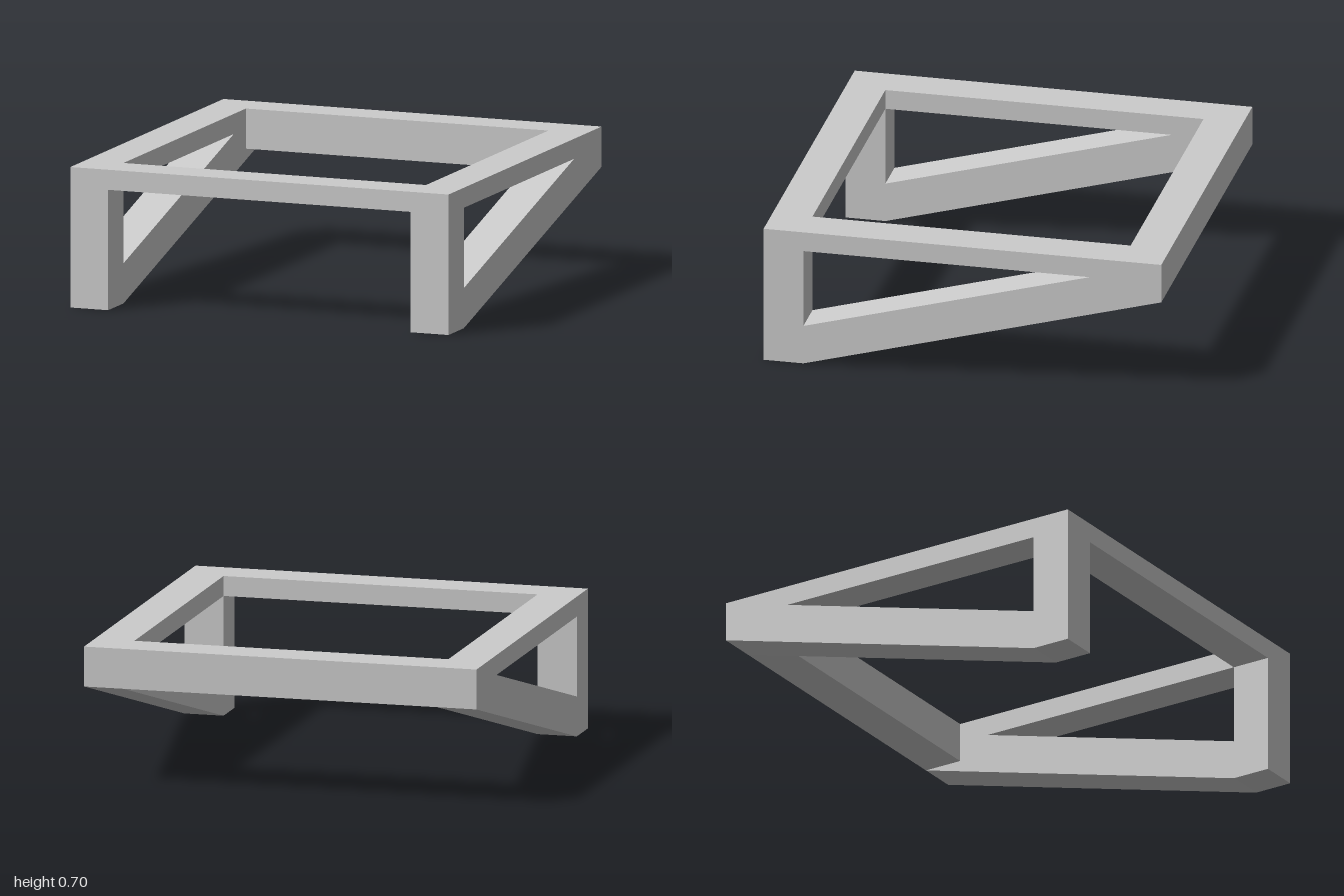
import * as THREE from 'three';

export function createModel() {
  const group = new THREE.Group();
  const material = new THREE.MeshStandardMaterial({ color: 0xcccccc, flatShading: true });
  const beam = 0.2;

  const add = (name, geometry, x, y, z) => {
    const mesh = new THREE.Mesh(geometry, material);
    mesh.name = name;
    mesh.position.set(x, y, z);
    group.add(mesh);
  };

  // Side frame profile as [z, y]: post, top rail and sloping brace around a triangular opening
  const points = (list) => list.map(([z, y]) => new THREE.Vector2(-z, y));
  const profile = new THREE.Shape(points([[0.8, 0], [-1, 0.5], [-1, 0.7], [1, 0.7], [1, 0]]));
  profile.holes.push(new THREE.Path(points([[0.8, 0.2], [0.8, 0.6], [-0.64, 0.6]])));
  const side = new THREE.ExtrudeGeometry(profile, { depth: beam, bevelEnabled: false });
  side.rotateY(Math.PI / 2);
  add('leftSideFrame', side, 0.8, 0, 0);
  add('rightSideFrame', side, -1, 0, 0);

  // Cross rails between the side frames: shallow at the front, deep at the back
  add('frontRail', new THREE.BoxGeometry(1.6, 0.1, beam), 0, 0.65, 0.9);
  add('backRail', new THREE.BoxGeometry(1.6, 0.2, beam), 0, 0.6, -0.9);

  return group;
}
